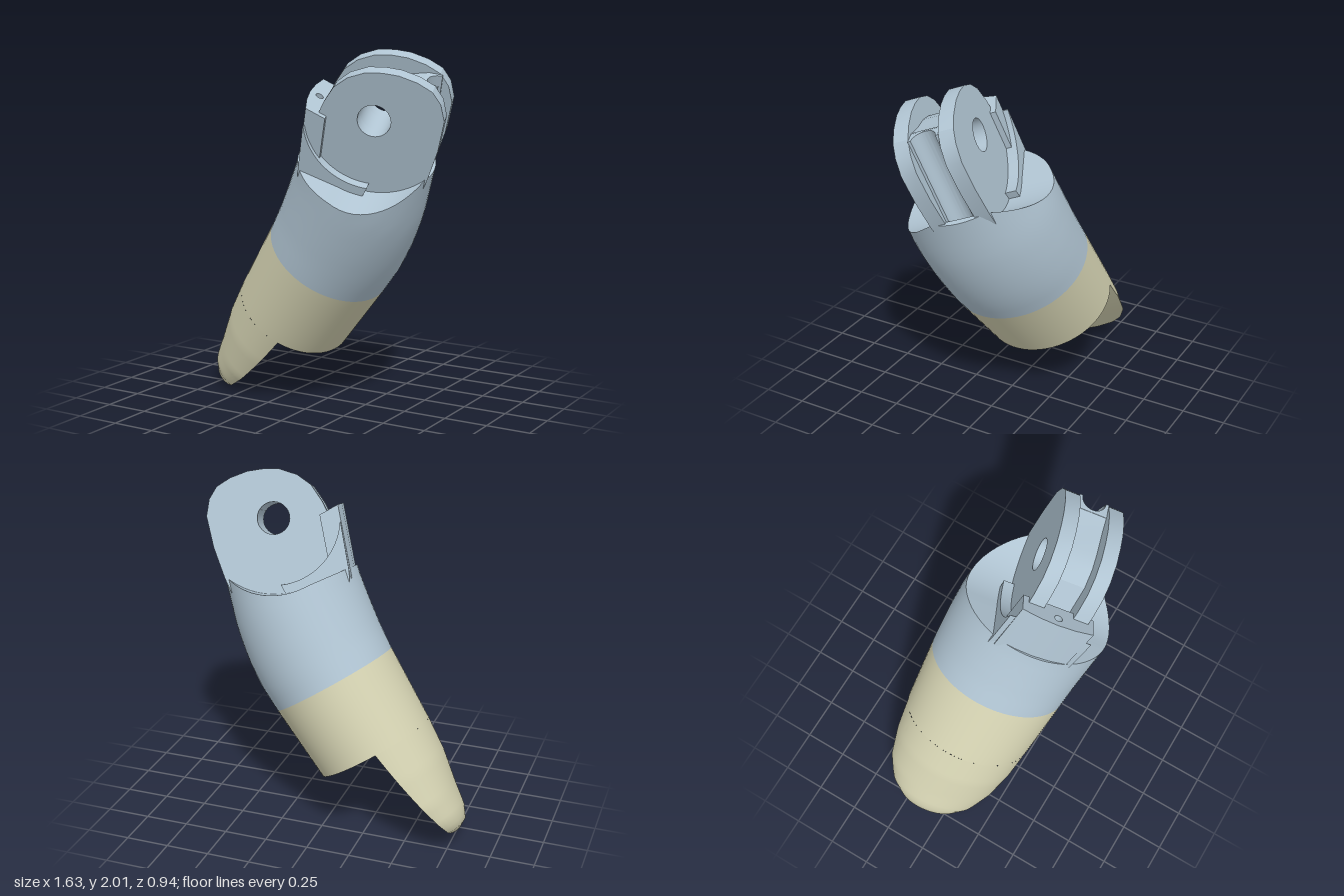
import * as THREE from 'three';
import { toCreasedNormals } from 'three/addons/utils/BufferGeometryUtils.js';

const shellMat = new THREE.MeshStandardMaterial({ color: 0xb0c4d2 });
shellMat.name = 'pale blue grey';
const padMat = new THREE.MeshStandardMaterial({ color: 0xd2d0b0 });
padMat.name = 'pale khaki';

// Finger frame: Y runs along the finger, Z along the hinge pin, +X is the pad side.
const SECTIONS = [ // Y, centre X, radius X, radius Z
  [-2.03, -0.02, 0.05, 0.10], [-2.0, 0.015, 0.13, 0.20], [-1.93, 0.055, 0.20, 0.28],
  [-1.8, 0.10, 0.262, 0.345], [-1.6, 0.125, 0.32, 0.38], [-1.4, 0.138, 0.345, 0.395],
  [-0.95, 0.155, 0.37, 0.42], [-0.8, 0.155, 0.38, 0.425], [-0.65, 0.143, 0.385, 0.43],
  [-0.5, 0.122, 0.385, 0.432], [-0.4, 0.10, 0.385, 0.43], [-0.1, 0.03, 0.37, 0.40],
];
const N = 64;

function section(y) {
  let i = 0;
  while (i < SECTIONS.length - 2 && y > SECTIONS[i + 1][0]) i++;
  const a = SECTIONS[i], b = SECTIONS[i + 1];
  const t = THREE.MathUtils.clamp((y - a[0]) / (b[0] - a[0]), 0, 1);
  return a.map((v, k) => v + (b[k] - v) * t);
}

function point(y, angle) {
  const [, cx, rx, rz] = section(y);
  return new THREE.Vector3(cx + rx * Math.cos(angle), y, 0.01 + rz * Math.sin(angle));
}

const ring = (y) => Array.from({ length: N }, (_, j) => point(y, (j / N) * Math.PI * 2));

// Ring cut off by the pad's flat face; its closing segment is the flat.
function cutRing(y) {
  const [, cx, rx] = section(y);
  const t = (-1.4 - y) / 0.65;
  const flat = 0.13 - 0.1 * t - 0.04 * t * t;
  const start = Math.acos(THREE.MathUtils.clamp((flat - cx) / rx, -0.95, 0.95));
  return Array.from({ length: N }, (_, j) =>
    point(y, start + (j / (N - 1)) * (Math.PI * 2 - 2 * start)));
}

// Skin rings from low to high; optional flat bottom and a top ruled along Z.
function loft(rows, { bottom = false, top = false }) {
  const tris = [];
  for (let i = 0; i < rows.length - 1; i++) {
    for (let j = 0; j < N; j++) {
      const k = (j + 1) % N, lo = rows[i], hi = rows[i + 1];
      tris.push(lo[j], hi[j], lo[k], lo[k], hi[j], hi[k]);
    }
  }
  if (bottom) {
    const r = rows[0];
    const c = r.reduce((s, p) => s.add(p), new THREE.Vector3()).divideScalar(N);
    for (let j = 0; j < N; j++) tris.push(c, r[j], r[(j + 1) % N]);
  }
  if (top) {
    const r = rows[rows.length - 1];
    for (let j = 0; j < N / 2; j++) {
      const a = r[j], b = r[j + 1], c = r[(N - j) % N], d = r[N - j - 1];
      if (j > 0) tris.push(a, c, b);
      if (j < N / 2 - 1) tris.push(b, c, d);
    }
  }
  return toCreasedNormals(new THREE.BufferGeometry().setFromPoints(tris), 0.6);
}

function steps(from, to, count) {
  return Array.from({ length: count + 1 }, (_, i) => from + ((to - from) * i) / count);
}

// Height of the clearance scoop swept around the hinge pin.
const scoop = (x) => (x < 0 ? -0.42 + 0.1 * x : -Math.sqrt(Math.max(0.42 ** 2 - x * x, 0.16 ** 2)));

function shellRows() {
  const rim = Array.from({ length: N }, (_, j) => {
    let y = -0.4;
    for (let n = 0; n < 8; n++) y = scoop(point(y, (j / N) * Math.PI * 2).x);
    return y;
  });
  return steps(0, 1, 10).map((t) => rim.map((y, j) =>
    point(-0.95 + (y + 0.95) * t, (j / N) * Math.PI * 2)));
}

const outline = (pts) => new THREE.Shape(pts.map(([x, y]) => new THREE.Vector2(x, y)));

function circleHole(shape, x, y, r) {
  shape.holes.push(new THREE.Path().absarc(x, y, r, 0, Math.PI * 2, true));
  return shape;
}

// Extrude along the pin, centred on a given Z.
function slab(shape, depth, z) {
  const g = new THREE.ExtrudeGeometry(shape, { depth, bevelEnabled: false, curveSegments: 24 });
  g.translate(0, 0, z - depth / 2);
  return toCreasedNormals(g, 0.4);
}

// Extrude upwards along the finger from Y = 0.
function column(shape, depth) {
  return new THREE.ExtrudeGeometry(shape, { depth, bevelEnabled: false, curveSegments: 16 })
    .rotateX(-Math.PI / 2);
}

export function createModel() {
  const model = new THREE.Group();
  model.name = 'fingertip';
  const finger = new THREE.Group();
  finger.name = 'fingerSegment';
  model.add(finger);

  const add = (name, geometry, material) => {
    const mesh = new THREE.Mesh(geometry, material);
    mesh.name = name;
    finger.add(mesh);
  };

  // Fingertip with its flat pad, and the full-round part above the step
  add('fingertipPad', loft([-2.03, -2.015, ...steps(-2.0, -1.4, 18)].map(cutRing), { bottom: true }), padMat);
  add('gripSleeve', loft(steps(-1.4, -0.95, 6).map(ring), { bottom: true }), padMat);

  // Shell with the scooped top
  add('shell', loft(shellRows(), { top: true }), shellMat);

  // Two hinge cheeks
  const cheek = circleHole(outline([
    [-0.2, -0.6], [0.36, -0.6], [0.41, -0.3], [0.40, -0.16], [0.37, 0.02], [0.32, 0.19],
    [0.26, 0.265], [0.19, 0.305], [0.1, 0.31], [0, 0.295], [-0.08, 0.265], [-0.16, 0.22],
    [-0.23, 0.145], [-0.27, 0.06], [-0.28, -0.05], [-0.27, -0.25],
  ]), 0, 0, 0.09);
  for (const side of [1, -1]) {
    add(side > 0 ? 'frontCheek' : 'backCheek', slab(cheek, 0.085, side * 0.1255), shellMat);
  }

  // Web between the cheeks, with a slanting cord groove down its pad side
  add('hingeWeb', slab(circleHole(outline([
    [-0.18, -0.6], [0.31, -0.6], [0.33, -0.246], [0.136, 0.28], [0.05, 0.22], [-0.05, 0.165],
    [-0.12, 0.11], [-0.17, 0.02],
  ]), 0, 0, 0.09), 0.17, 0), shellMat);
  const grooved = outline([[-0.085, -0.084], [0, -0.084], [0, -0.068]]);
  grooved.absarc(0, 0, 0.068, -Math.PI / 2, Math.PI / 2, true);
  grooved.lineTo(0, 0.084);
  grooved.lineTo(-0.085, 0.084);
  const groove = column(grooved, 0.56).rotateZ(0.354).translate(0.4, -0.22, 0);
  add('cordGroove', toCreasedNormals(groove, 0.4), shellMat);

  // Curved stop ridge around the hinge
  const ridge = outline([[-0.14, -0.62], [0.14, -0.62], [0.14, -0.345]]);
  ridge.absarc(0, 0, 0.37, Math.atan2(-0.345, 0.14), Math.atan2(-0.2, -0.31), true);
  ridge.lineTo(-0.315, -0.2);
  ridge.lineTo(-0.225, -0.46);
  add('stopRidge', slab(ridge, 0.46, 0), shellMat);

  // Leaning cord anchor with a small hole, flush with the shell at its foot
  const anchor = column(circleHole(outline([
    [-0.235, -0.2], [-0.12, -0.2], [-0.12, 0.2], [-0.235, 0.2], [-0.255, 0.1], [-0.262, 0], [-0.255, -0.1],
  ]), -0.205, 0, 0.022), 0.39).translate(0, -0.5, 0);
  const p = anchor.attributes.position;
  for (let i = 0; i < p.count; i++) p.setX(i, p.getX(i) - 0.33 * (p.getY(i) + 0.45));
  add('cordAnchor', toCreasedNormals(anchor, 0.4), shellMat);

  // Pose the finger
  const along = new THREE.Vector3(0.564, 0.815, 0.131).normalize();
  const pin = new THREE.Vector3(0.27, -0.33, 0.905);
  const pad = new THREE.Vector3().crossVectors(along, pin).normalize();
  pin.crossVectors(pad, along);
  finger.quaternion.setFromRotationMatrix(new THREE.Matrix4().makeBasis(pad, along, pin));
  finger.position.set(0.41, 1.70, 0.14);
  model.updateMatrixWorld(true);
  finger.position.y -= new THREE.Box3().setFromObject(finger, true).min.y;
  return model;
}
